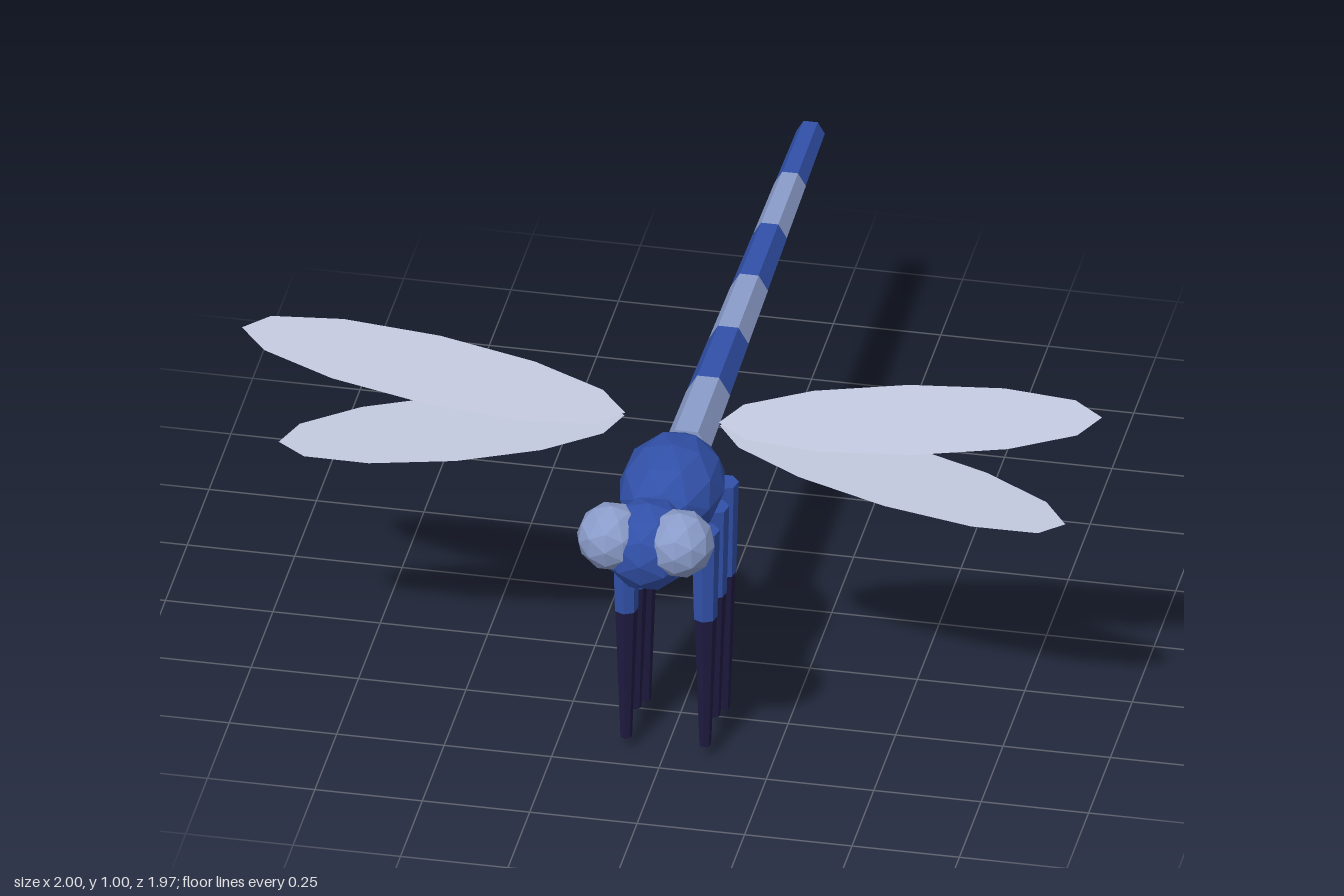
import * as THREE from 'three';

const flat = (name, color, side = THREE.FrontSide) => {
  const m = new THREE.MeshStandardMaterial({ color, flatShading: true, side });
  m.name = name;
  return m;
};

export function createModel() {
  const group = new THREE.Group();
  const blue = flat('body blue', 0x3150a8);
  const pale = flat('pale blue', 0x8a9cca);
  const dark = flat('dark leg', 0x1e1a40);
  const wingMat = flat('wing', 0xc6cce2, THREE.DoubleSide);

  const add = (name, geo, mat, x, y, z) => {
    const mesh = new THREE.Mesh(geo, mat);
    mesh.name = name;
    mesh.position.set(x, y, z);
    group.add(mesh);
    return mesh;
  };
  const ball = (rx, ry, rz) => new THREE.IcosahedronGeometry(1, 1).scale(rx, ry, rz);

  // Thorax and head
  add('thorax', ball(0.122, 0.11, 0.166), blue, 0, 0.662, 0.597);
  add('head', ball(0.108, 0.108, 0.11), blue, 0, 0.669, 0.87);

  // Tail of six hexagonal segments, alternating colours
  const ends = [0.435, 0.185, -0.045, -0.285, -0.52, -0.755, -0.99];
  for (let i = 0; i < 6; i++) {
    const length = ends[i] - ends[i + 1];
    const r = 0.054 - i * 0.0036;
    const geo = new THREE.CylinderGeometry(r, r - 0.003, length, 6);
    geo.rotateY(Math.PI / 6).rotateX(Math.PI / 2);
    geo.rotateZ(Math.PI / 6 * (i < 0 ? 1 : 0));
    // put a hexagon corner at each side
    geo.computeBoundingBox();
    if (geo.boundingBox.max.x < r * 0.95) geo.rotateZ(Math.PI / 6);
    add('tailSegment' + (i + 1), geo, i % 2 ? blue : pale, 0, 0.664, (ends[i] + ends[i + 1]) / 2);
  }

  // Wing: twelve-sided ellipse, twisted about its long axis, then raised or lowered
  const wing = (name, s, cx, cy, half, width, angle, twist) => {
    const geo = new THREE.CircleGeometry(1, 12).scale(half, width, 1);
    geo.rotateX(-twist).rotateZ(s * angle);
    add(name, geo, wingMat, s * cx, cy, 0.6);
  };

  for (const s of [1, -1]) {
    const side = s > 0 ? 'left' : 'right';
    add(side + 'Eye', ball(0.08, 0.08, 0.08), pale, s * 0.08, 0.697, 0.9);
    wing(side + 'UpperWing', s, 0.555, 0.905, 0.45, 0.081, 0.134, 0.38);
    wing(side + 'LowerWing', s, 0.513, 0.754, 0.411, 0.076, -0.205, 0.33);

    // Three legs per side: blue upper part, dark tapering lower part
    [[0.675, 0.03, 0.37], [0.567, 0.045, 0.37], [0.457, 0, 0.36]].forEach(([z, foot, knee], i) => {
      const top = 0.6;
      add(side + 'UpperLeg' + (i + 1), new THREE.CylinderGeometry(0.034, 0.028, top - knee, 7),
        blue, s * 0.092, (top + knee) / 2, z);
      add(side + 'LowerLeg' + (i + 1), new THREE.CylinderGeometry(0.027, 0.014, knee - foot, 7),
        dark, s * 0.092, (knee + foot) / 2, z);
    });
  }
  return group;
}
